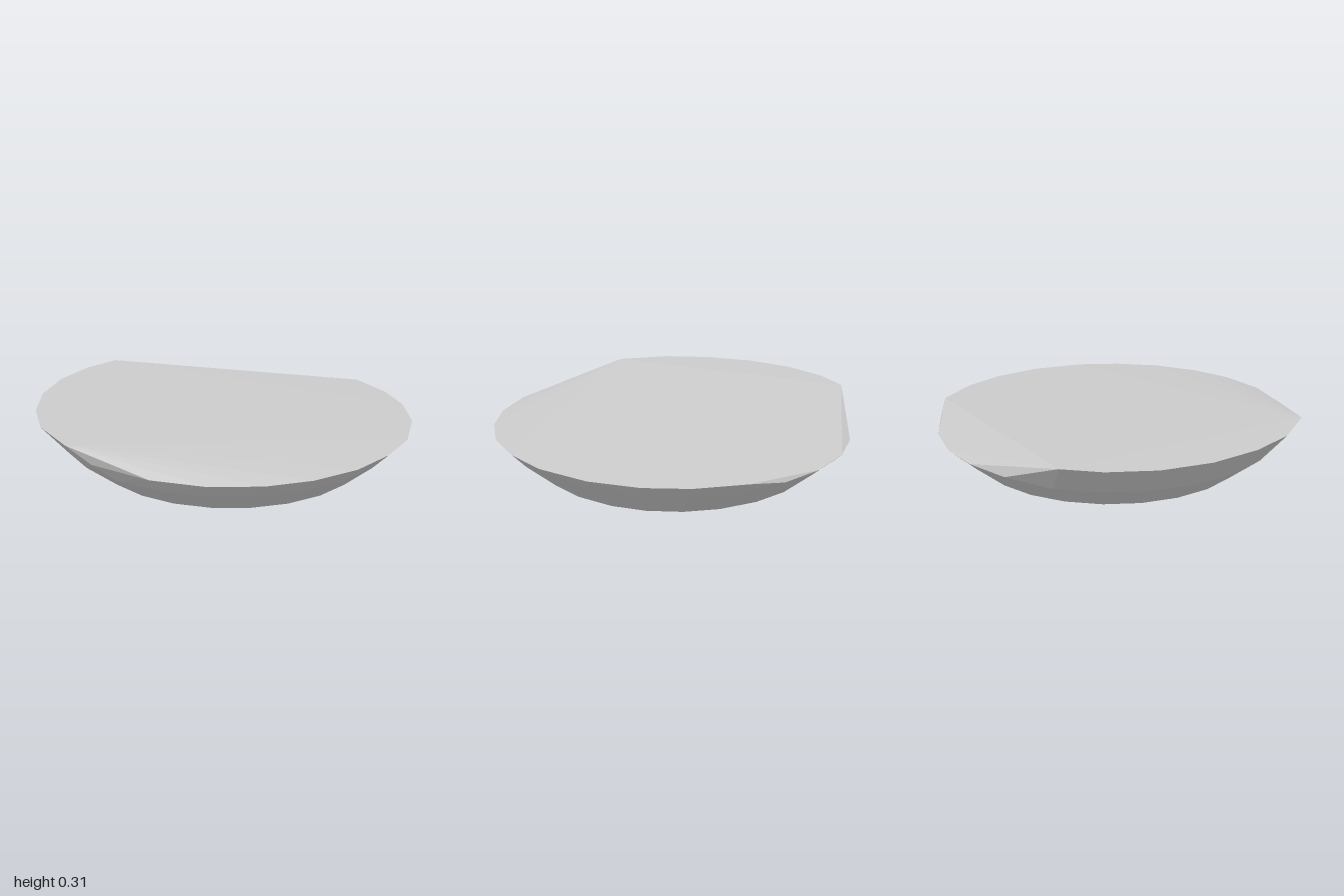
import * as THREE from 'three';
import { ConvexGeometry } from 'three/addons/geometries/ConvexGeometry.js';

// Faceted solid dish: lower rings plus an uneven rim, wrapped in a convex skin.
export function createModel() {
  const group = new THREE.Group();
  const points = [];
  const add = (y, list) => list.forEach(([x, z]) => points.push(new THREE.Vector3(x, y, z)));

  // Base, bevel and wall rings: radius, height, centre offset
  const rings = [[0.69, 0, 0.03], [0.725, 0.015, 0.025], [0.89, 0.15, 0.02]];
  const sides = 24;
  for (const [r, y, c] of rings) {
    for (let i = 0; i < sides; i++) {
      const a = ((i + 0.3) / sides) * Math.PI * 2;
      add(y, [[c + r * Math.cos(a), c + r * Math.sin(a)]]);
    }
  }

  // Raised rim at the back
  add(0.31, [[0.02, -1], [-0.19, -0.99], [-0.43, -0.91], [-0.65, -0.76],
    [-0.83, -0.55], [-0.95, -0.32], [-1, -0.03]]);

  // Level rim round the front
  add(0.232, [[-0.94, 0.1], [-0.85, 0.43], [-0.7, 0.67], [-0.5, 0.84], [-0.29, 0.94],
    [-0.04, 0.99], [0.21, 0.97], [0.44, 0.9], [0.68, 0.74], [0.85, 0.54],
    [0.95, 0.33], [1, 0.07]]);

  // Low rim at the back on the left side
  add(0.185, [[0.94, -0.15], [0.86, -0.38], [0.72, -0.59], [0.55, -0.74], [0.33, -0.86]]);

  const dish = new THREE.Mesh(
    new ConvexGeometry(points),
    new THREE.MeshStandardMaterial({ color: 0xcccccc, flatShading: true })
  );
  dish.name = 'dish';
  group.add(dish);
  return group;
}
